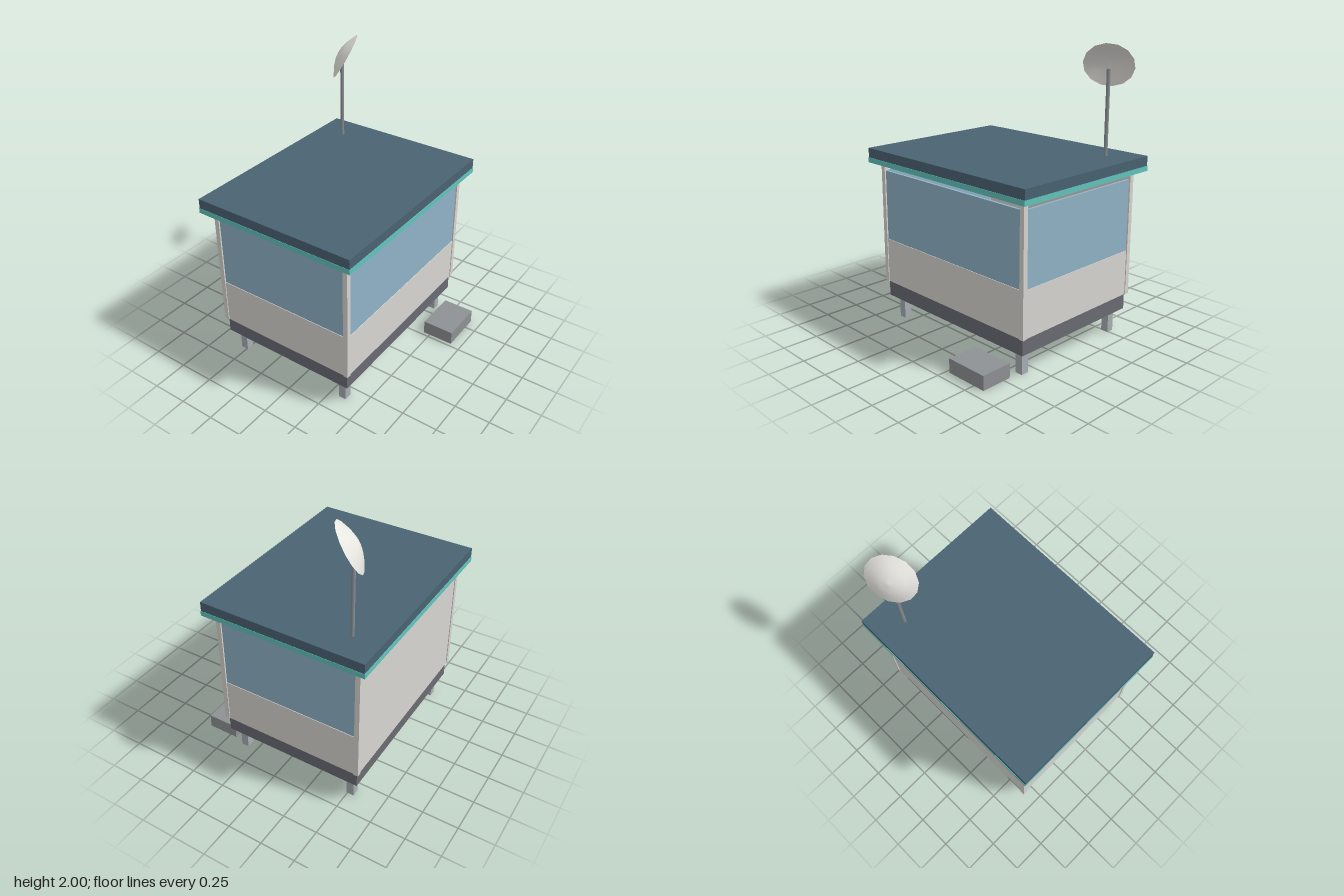
import * as THREE from 'three';

const mat = (color) => new THREE.MeshStandardMaterial({ color });
const MATS = {
  roof: mat(0x4a6372), trim: mat(0x62c6be), wall: mat(0xd9d7d2), glass: mat(0x90b4c8),
  base: mat(0x6b6c74), leg: mat(0xa8afb4), step: mat(0x8f9295), mast: mat(0x8a9095),
};

export function createModel() {
  const model = new THREE.Group();
  model.name = 'kiosk';

  const add = (parent, name, geometry, material, x, y, z) => {
    const mesh = new THREE.Mesh(geometry, material);
    mesh.name = name;
    mesh.position.set(x, y, z);
    parent.add(mesh);
    return mesh;
  };
  // Box given by its width, depth, bottom, top and centre
  const box = (parent, name, material, w, d, y0, y1, x = 0, z = 0) =>
    add(parent, name, new THREE.BoxGeometry(w, y1 - y0, d), material, x, (y0 + y1) / 2, z);

  // Cabin, set slightly back to leave room for the step
  const cabin = new THREE.Group();
  cabin.name = 'cabin';
  cabin.position.z = -0.087;
  model.add(cabin);

  box(cabin, 'base', MATS.base, 1.328, 1.018, 0.165, 0.28);
  box(cabin, 'roofTrim', MATS.trim, 1.494, 1.18, 1.155, 1.19);
  box(cabin, 'roof', MATS.roof, 1.49, 1.174, 1.19, 1.257);

  // Legs and corner posts
  for (const sx of [-1, 1]) {
    for (const sz of [-1, 1]) {
      box(cabin, 'leg', MATS.leg, 0.055, 0.055, 0, 0.165, sx * 0.587, sz * 0.432);
      box(cabin, 'cornerPost', MATS.wall, 0.034, 0.034, 0.28, 1.155, sx * 0.667, sz * 0.51);
    }
  }

  // Low walls with windows on the front and sides, leaving a gap under the roof
  box(cabin, 'frontWall', MATS.wall, 1.302, 0.026, 0.28, 0.6, 0, 0.508);
  box(cabin, 'frontWindow', MATS.glass, 1.302, 0.018, 0.6, 1.1, 0, 0.508);
  for (const s of [-1, 1]) {
    box(cabin, 'sideWall', MATS.wall, 0.026, 0.988, 0.28, 0.6, s * 0.665, 0);
    box(cabin, 'sideWindow', MATS.glass, 0.018, 0.988, 0.6, 1.1, s * 0.665, 0);
  }
  // Solid back wall
  box(cabin, 'backWall', MATS.wall, 1.302, 0.026, 0.28, 1.155, 0, -0.508);

  // Loose step in front
  box(model, 'step', MATS.step, 0.31, 0.226, 0, 0.1, 0.43, 0.563);

  // Mast and dish on the roof
  add(model, 'mast', new THREE.CylinderGeometry(0.013, 0.013, 0.573, 8), MATS.mast, 0.548, 1.5435, -0.478);
  const profile = [[0.168, 0], [0.1, 0.034], [0.05, 0.05], [0, 0.056]].map(([r, y]) => new THREE.Vector2(r, y));
  const dishMat = new THREE.MeshStandardMaterial({ color: 0xe8e6e1, side: THREE.DoubleSide });
  const dish = add(model, 'dish', new THREE.LatheGeometry(profile, 14), dishMat, 0.562, 1.855, -0.46);
  dish.quaternion.setFromUnitVectors(
    new THREE.Vector3(0, 1, 0), new THREE.Vector3(-0.45, 0.5, -0.75).normalize());

  return model;
}
